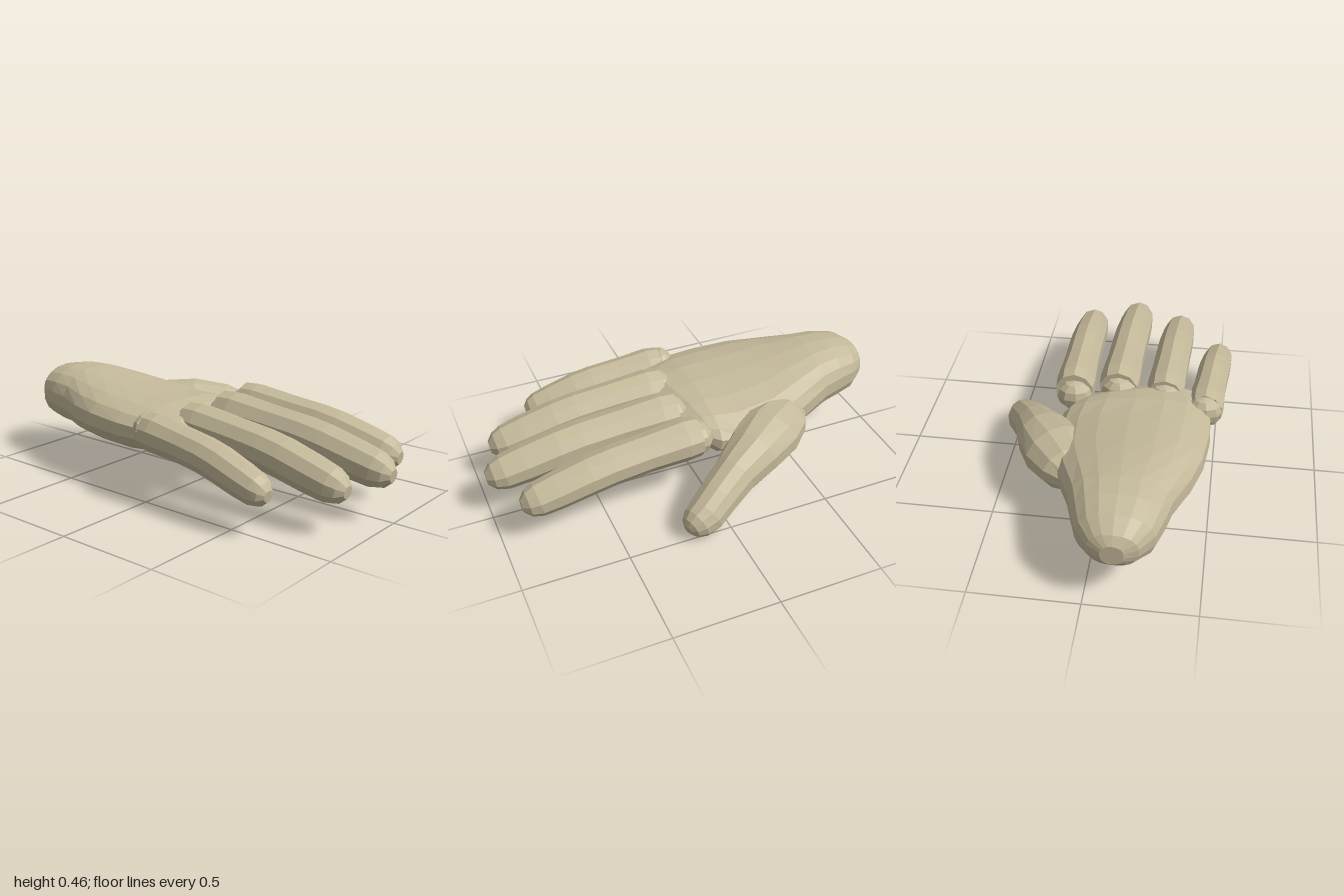
import * as THREE from 'three';

const skin = new THREE.MeshStandardMaterial({ color: 0xc4b99a, flatShading: true });
skin.name = 'skin';

// Closed loft: each section is [x, y, z, halfWidth, halfHeight, roll], ordered towards the tip.
function loft(name, sections, sides, power = 1) {
  const n = sections.length;
  const centres = sections.map(s => new THREE.Vector3(s[0], s[1], s[2]));
  const pos = [], idx = [];
  const round = v => Math.sign(v) * Math.pow(Math.abs(v), power);
  sections.forEach(([, , , w, h, roll = 0], i) => {
    const t = centres[Math.min(i + 1, n - 1)].clone().sub(centres[Math.max(i - 1, 0)]).normalize();
    const side = new THREE.Vector3(0, 1, 0).cross(t).normalize().applyAxisAngle(t, roll);
    const up = t.clone().cross(side);
    for (let j = 0; j < sides; j++) {
      const a = (j + 0.5) / sides * Math.PI * 2;
      const p = centres[i].clone()
        .addScaledVector(side, round(Math.cos(a)) * w)
        .addScaledVector(up, round(Math.sin(a)) * h);
      pos.push(p.x, p.y, p.z);
    }
  });
  for (let i = 0; i < n - 1; i++) {
    for (let j = 0; j < sides; j++) {
      const k = (j + 1) % sides;
      const a = i * sides + j, b = i * sides + k, c = b + sides, d = a + sides;
      idx.push(a, b, c, a, c, d);
    }
  }
  // end caps
  const first = n * sides, last = first + 1, top = (n - 1) * sides;
  pos.push(...centres[0].toArray(), ...centres[n - 1].toArray());
  for (let j = 0; j < sides; j++) {
    const k = (j + 1) % sides;
    idx.push(first, k, j, last, top + j, top + k);
  }
  const g = new THREE.BufferGeometry();
  g.setAttribute('position', new THREE.Float32BufferAttribute(pos, 3));
  g.setIndex(idx);
  g.computeVertexNormals();
  const mesh = new THREE.Mesh(g, skin);
  mesh.name = name;
  return mesh;
}

// A finger droops from its knuckle to a rounded tip.
function finger(name, x0, x1, z0, z1, y0, y1, r, flare) {
  // [fraction of length, fraction of drop, radius scale]
  const profile = [[0, 0, 1.0], [0.08, 0.01, 1.06], [0.3, 0.13, 1], [0.5, 0.27, 1.0],
    [0.62, 0.42, 1.0], [0.8, 0.72, 0.95], [0.91, 0.9, 0.87], [0.965, 0.97, 0.68], [1, 1, 0.32]];
  return loft(name, profile.map(([f, d, s], i) => {
    const k = r * s * (i < 2 ? flare : 1);
    return [x0 + (x1 - x0) * f, y0 + (y1 - y0) * d, z0 + (z1 - z0) * f, k, k * 1.06];
  }), 10);
}

export function createModel() {
  const hand = new THREE.Group();
  hand.name = 'hand';

  // palm, from the rounded wrist stump to the knuckles
  hand.add(loft('palm', [
    [-0.13, 0.32, -1.0, 0.05, 0.05],
    [-0.13, 0.32, -0.97, 0.11, 0.09],
    [-0.13, 0.325, -0.9, 0.17, 0.132],
    [-0.13, 0.328, -0.8, 0.203, 0.147],
    [-0.125, 0.327, -0.7, 0.23, 0.149],
    [-0.125, 0.31, -0.55, 0.295, 0.148, -0.04],
    [-0.12, 0.295, -0.4, 0.345, 0.145, -0.08],
    [-0.12, 0.285, -0.2, 0.365, 0.137, -0.09],
    [-0.125, 0.295, -0.06, 0.355, 0.122, -0.06],
    [-0.11, 0.30, 0.03, 0.325, 0.10, -0.04],
    [-0.09, 0.30, 0.09, 0.27, 0.065]
  ], 18, 0.88));

  // thumb with its fleshy base
  hand.add(loft('thumb', [
    [0.08, 0.28, -0.53, 0.07, 0.06],
    [0.13, 0.275, -0.44, 0.14, 0.11],
    [0.21, 0.265, -0.32, 0.165, 0.13],
    [0.30, 0.245, -0.2, 0.135, 0.125],
    [0.365, 0.205, -0.08, 0.105, 0.11],
    [0.42, 0.15, 0.03, 0.098, 0.1],
    [0.46, 0.105, 0.11, 0.093, 0.093],
    [0.48, 0.085, 0.165, 0.08, 0.08],
    [0.492, 0.075, 0.2, 0.055, 0.055],
    [0.498, 0.07, 0.215, 0.025, 0.025]
  ], 12));

  // fingers
  hand.add(finger('littleFinger', -0.443, -0.492, -0.02, 0.685, 0.335, 0.205, 0.081, 1.04));
  hand.add(finger('ringFinger', -0.245, -0.267, 0.05, 0.925, 0.345, 0.215, 0.09, 1));
  hand.add(finger('middleFinger', -0.018, -0.025, 0.07, 1.0, 0.35, 0.235, 0.093, 1.03));
  hand.add(finger('indexFinger', 0.193, 0.215, 0.04, 0.9, 0.345, 0.23, 0.09, 1.03));

  // knuckle joints bridging palm and fingers
  [[-0.44, 0.345, -0.03, 0.085], [-0.245, 0.34, 0.05, 0.09],
    [-0.02, 0.345, 0.07, 0.09], [0.19, 0.335, 0.03, 0.088]].forEach(([x, y, z, r], i) => {
    const knuckle = new THREE.Mesh(new THREE.SphereGeometry(r, 9, 6), skin);
    knuckle.name = 'knuckle' + (i + 1);
    knuckle.position.set(x, y, z);
    knuckle.scale.set(1, 0.9, 0.7);
    hand.add(knuckle);
  });

  return hand;
}
